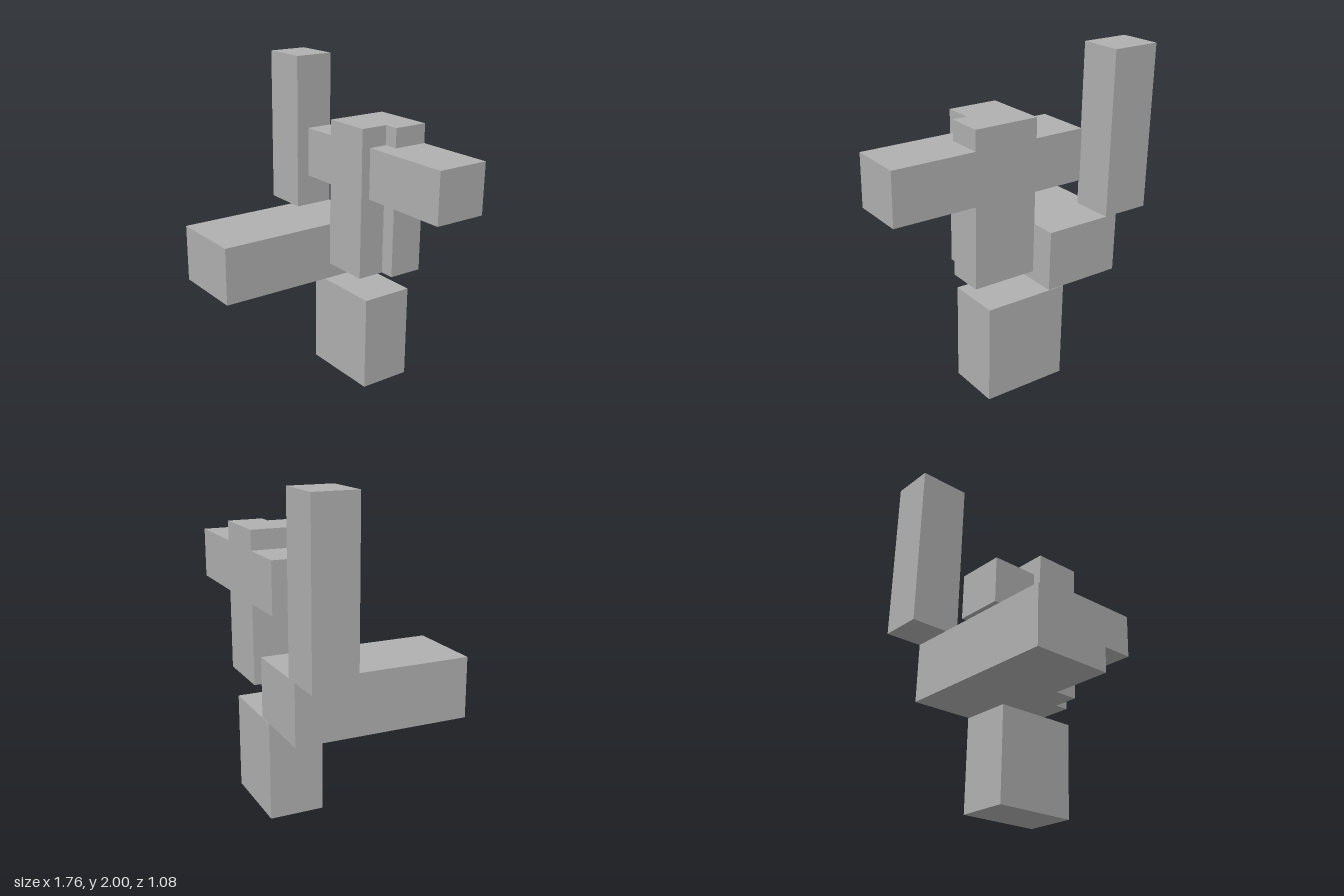
import * as THREE from 'three';

export function createModel() {
  const model = new THREE.Group();
  model.name = 'blockSculpture';
  const grey = new THREE.MeshStandardMaterial({ color: 0xb0b0b0 });
  grey.name = 'grey';

  const back = -0.54; // every block shares one flush back plane

  // Block spanning x0..x1, y0..y1, from the back plane to zFront
  function block(name, x0, x1, y0, y1, zFront) {
    const mesh = new THREE.Mesh(new THREE.BoxGeometry(x1 - x0, y1 - y0, zFront - back), grey);
    mesh.position.set((x0 + x1) / 2, (y0 + y1) / 2, (zFront + back) / 2);
    mesh.name = name;
    model.add(mesh);
  }

  // Stacked lower blocks and tall column
  block('baseBlock', -0.255, 0.283, 0, 0.605, -0.203);
  block('longBlock', -0.65, -0.147, 0.608, 0.98, 0.54);
  block('tallColumn', -0.88, -0.57, 0.98, 2, -0.273);

  // Floating cross: stepped post, with the crossbar split into two arms
  block('crossPost', -0.022, 0.286, 0.77, 1.7, -0.145);
  block('crossPostStepUpper', 0.286, 0.378, 1.58, 1.7, -0.32);
  block('crossPostStepLower', 0.286, 0.378, 0.77, 1.266, -0.32);
  block('crossArmRight', -0.343, -0.022, 1.266, 1.58, -0.204);
  block('crossArmLeft', 0.286, 0.88, 1.266, 1.58, -0.204);

  return model;
}
